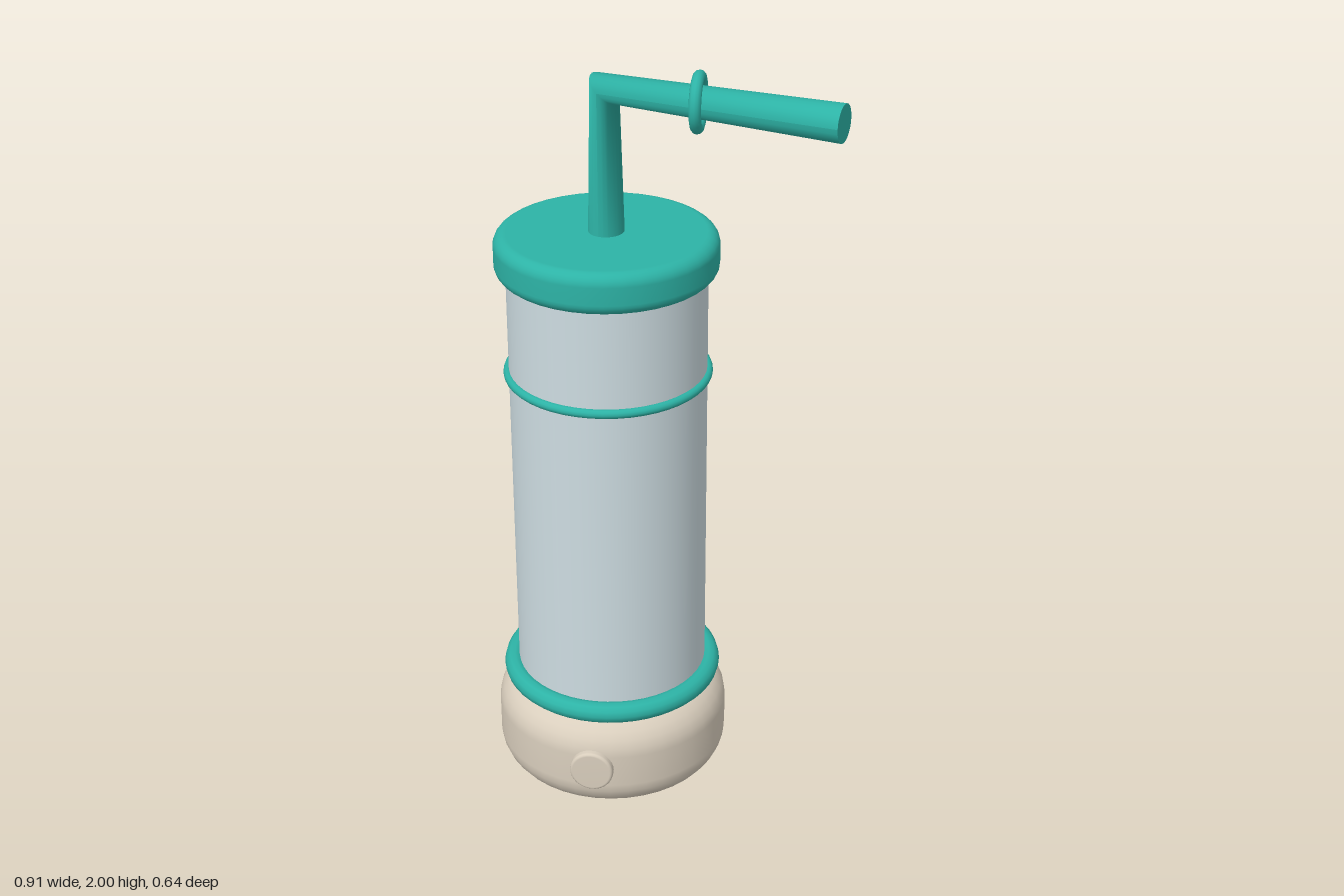
import * as THREE from 'three';

const CX = -0.146, CZ = -0.007; // axis of the bottle

// Solid disc with rounded rims, standing on y = 0
function roundedDisc(radius, height, bevel, segments = 40, steps = 6) {
  const pts = [new THREE.Vector2(0, 0)];
  for (const [cy, start] of [[bevel, -Math.PI / 2], [height - bevel, 0]]) {
    for (let i = 0; i <= steps; i++) {
      const a = start + (i / steps) * Math.PI / 2;
      pts.push(new THREE.Vector2(radius - bevel + bevel * Math.cos(a), cy + bevel * Math.sin(a)));
    }
  }
  pts.push(new THREE.Vector2(0, height));
  return new THREE.LatheGeometry(pts, segments);
}

// Straw: a cylinder with three rings, the middle one mitred at the elbow
function bentStraw(radius, bottom, elbow, tip) {
  const geo = new THREE.CylinderGeometry(radius, radius, 1, 24, 2);
  const up = new THREE.Vector3(0, 1, 0);
  const along = tip.clone().sub(elbow).setY(0).normalize();
  const side = along.clone().cross(up);
  const centres = [bottom, elbow, tip];
  const pos = geo.attributes.position;
  for (let i = 0; i < pos.count; i++) {
    const ring = Math.round((pos.getY(i) + 0.5) * 2);
    const a = ring * Math.PI / 4;
    const p = centres[ring].clone()
      .addScaledVector(along, pos.getX(i) * Math.cos(a))
      .addScaledVector(up, -pos.getX(i) * Math.sin(a))
      .addScaledVector(side, pos.getZ(i));
    pos.setXYZ(i, p.x, p.y, p.z);
  }
  geo.computeVertexNormals();
  return geo;
}

export function createModel() {
  const teal = new THREE.MeshStandardMaterial({ color: 0x2db3a6 });
  teal.name = 'teal';
  const cream = new THREE.MeshStandardMaterial({ color: 0xd9cebd });
  cream.name = 'cream';
  const glass = new THREE.MeshStandardMaterial({ color: 0xcddce1 });
  glass.name = 'paleGlass';

  const model = new THREE.Group();
  model.name = 'bottleWithStraw';
  const add = (name, geometry, material, x, y, z) => {
    const mesh = new THREE.Mesh(geometry, material);
    mesh.name = name;
    mesh.position.set(x, y, z);
    model.add(mesh);
    return mesh;
  };

  // Base with its front button
  add('base', roundedDisc(0.311, 0.27, 0.09), cream, CX, 0, CZ);
  add('button', roundedDisc(0.058, 0.036, 0.008, 32, 3), cream, CX, 0.142, 0.283).rotation.x = Math.PI / 2;

  // Clear body
  add('body', new THREE.CylinderGeometry(0.254, 0.254, 1.24, 48), glass, CX, 0.87, CZ);

  // Rings around the body
  for (const [name, y, radius, tube] of [['lowerRing', 0.297, 0.266, 0.028], ['upperRing', 1.18, 0.256, 0.012]]) {
    add(name, new THREE.TorusGeometry(radius, tube, 12, 48), teal, CX, y, CZ).rotation.x = Math.PI / 2;
  }

  // Lid
  add('lid', roundedDisc(0.283, 0.11, 0.032), teal, CX, 1.45, CZ);

  // Straw and the loop hung on it
  add('straw', bentStraw(0.047,
    new THREE.Vector3(CX, 1.5, CZ),
    new THREE.Vector3(CX, 1.927, CZ),
    new THREE.Vector3(0.442, 1.925, 0.148)), teal, 0, 0, 0);
  add('strawLoop', new THREE.TorusGeometry(0.061, 0.015, 12, 32), teal, 0.09, 1.925, 0.053).rotation.y = Math.PI / 2;

  return model;
}
